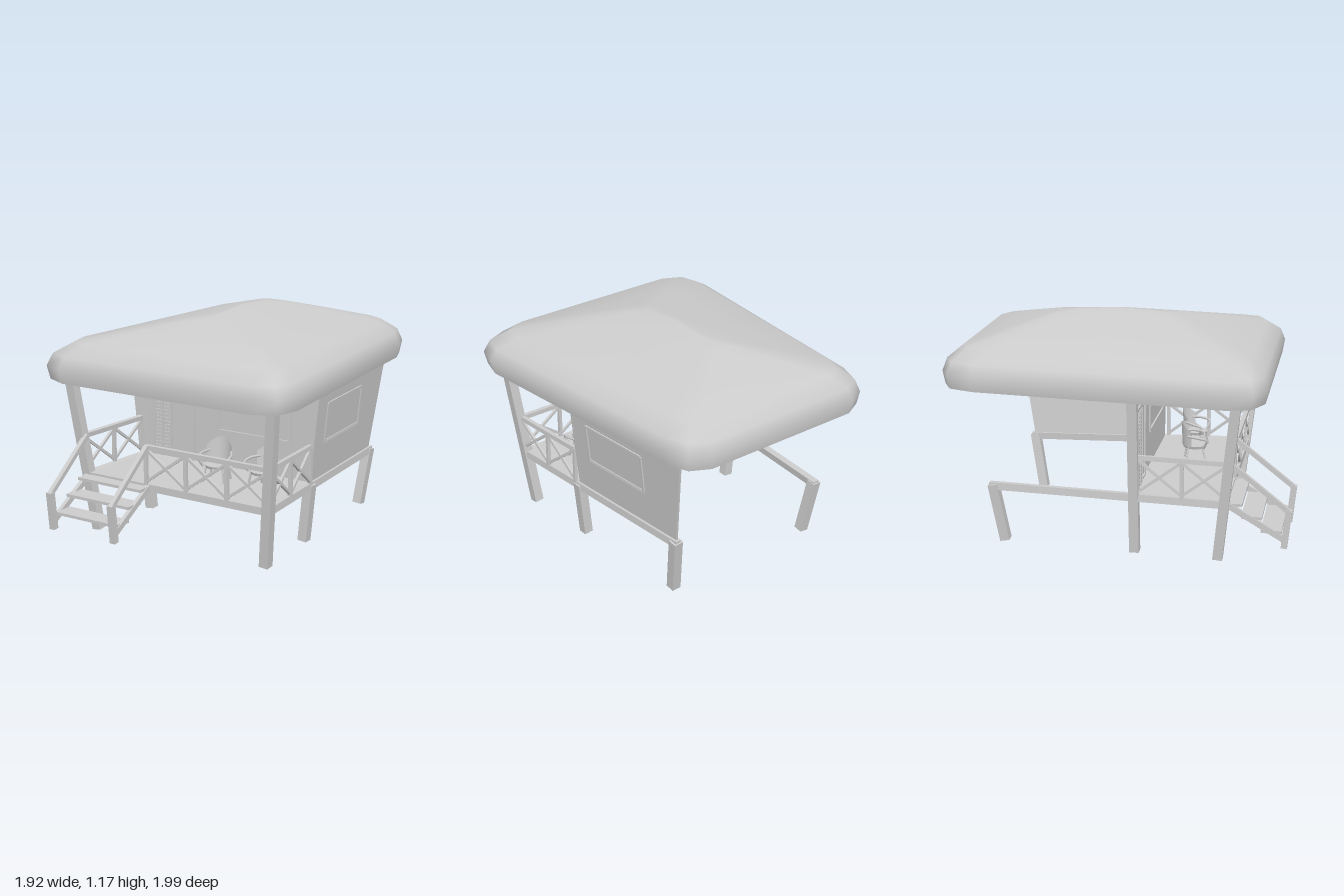
import * as THREE from 'three';
import { ConvexGeometry } from 'three/addons/geometries/ConvexGeometry.js';

const mat = new THREE.MeshStandardMaterial({ color: 0xcccccc });
const matDouble = new THREE.MeshStandardMaterial({ color: 0xcccccc, side: THREE.DoubleSide });
const V = (x, y, z) => new THREE.Vector3(x, y, z);

// The hut is a trapezoid that narrows to the back and flares upward
const half = (z, y) => 0.511 + 0.074 * z + 0.1 * (y - 0.3);
const frontZ = y => 0.531 + 0.105 * y;
const backZ = y => -0.595 - 0.17 * y;
const WALL_Z = 0.1;
const edge = (side, z, y) => V(side * half(z, y), y, z);

function add(parent, name, geo, material = mat) {
  const mesh = new THREE.Mesh(geo, material);
  mesh.name = name;
  parent.add(mesh);
  return mesh;
}

function group(parent, name) {
  const g = new THREE.Group();
  g.name = name;
  parent.add(g);
  return g;
}

// Square timber between two points
function bar(parent, name, a, b, w, d = w) {
  const dir = b.clone().sub(a);
  const m = add(parent, name, new THREE.BoxGeometry(w, dir.length(), d));
  m.position.copy(a).add(b).multiplyScalar(0.5);
  m.quaternion.setFromUnitVectors(V(0, 1, 0), dir.normalize());
  return m;
}

// Flat slab: corner points thickened along an offset
function slab(parent, name, pts, offset) {
  return add(parent, name, new ConvexGeometry([...pts, ...pts.map(p => p.clone().add(offset))]));
}

function frame(parent, name, pts, t) {
  const g = group(parent, name);
  pts.forEach((p, i) => bar(g, 'frameBar', p, pts[(i + 1) % pts.length], t));
}

// Railing with crossed braces in each panel
function railing(parent, a, b, panels) {
  const g = group(parent, 'railing');
  const at = (t, y) => a.clone().lerp(b, t).setY(y);
  bar(g, 'topRail', at(0, 0.515), at(1, 0.515), 0.024);
  for (let i = 0; i <= panels; i++) bar(g, 'baluster', at(i / panels, 0.31), at(i / panels, 0.52), 0.018);
  for (let i = 0; i < panels; i++) {
    const s = i / panels, e = (i + 1) / panels;
    bar(g, 'brace', at(s, 0.33), at(e, 0.505), 0.014);
    bar(g, 'brace', at(s, 0.505), at(e, 0.33), 0.014);
  }
}

function roofGeometry() {
  const right = [[0.568, 0.767], [0.693, 0.71], [0.728, 0.582], [0.665, -0.07],
    [0.603, -0.72], [0.553, -0.851], [0.45, -0.903]];
  const outline = [[0, 0.767], ...right, [0, -0.903], ...right.map(([x, z]) => [-x, z]).reverse()];
  // Each ring: how far it moves towards the ridge, and its height
  const rings = [[0.02, 0.83], [0, 0.9], [0.04, 0.965], [0.17, 1.025], [0.55, 1.087], [0.87, 1.137], [1, 1.147]];
  const pos = [], index = [], n = outline.length;
  for (const [k, y] of rings) {
    for (const [x, z] of outline) {
      const t = (z + 0.903) / 1.67;
      const ridge = -0.35 + 0.55 * t;
      const bump = 0.02 * k ** 3 * (1 - (2 * t - 1) ** 2);
      pos.push(x * (1 - k), y + bump, z + (ridge - z) * k);
    }
  }
  for (let r = 0; r < rings.length - 1; r++) {
    for (let i = 0; i < n; i++) {
      const a = r * n + i, b = r * n + (i + 1) % n;
      index.push(a, b, b + n, a, b + n, a + n);
    }
  }
  const geo = new THREE.BufferGeometry();
  geo.setAttribute('position', new THREE.Float32BufferAttribute(pos, 3));
  geo.setIndex(index);
  geo.computeVertexNormals();
  return geo;
}

function chair(parent, x, z, turn) {
  const g = group(parent, 'chair');
  g.position.set(x, 0.315, z);
  g.rotation.y = turn;
  add(g, 'seat', new THREE.CylinderGeometry(0.065, 0.06, 0.014, 16)).position.y = 0.085;
  // Rounded back: a curved shell with an arched top
  const back = new THREE.CylinderGeometry(0.075, 0.068, 0.13, 12, 4, true, Math.PI * 0.62, Math.PI * 0.76);
  const p = back.attributes.position;
  for (let i = 0; i < p.count; i++) {
    const arch = (p.getX(i) / 0.075) ** 2 * 0.05;
    p.setY(i, p.getY(i) - arch * (p.getY(i) / 0.13 + 0.5));
  }
  back.computeVertexNormals();
  add(g, 'chairBack', back, matDouble).position.y = 0.155;
  for (const s of [-1, 1]) {
    for (const f of [-1, 1]) bar(g, 'chairLeg', V(s * 0.06, -0.02, f * 0.055), V(s * 0.045, 0.085, f * 0.04), 0.009);
    const path = new THREE.CatmullRomCurve3([V(s * 0.06, 0.15, -0.045), V(s * 0.082, 0.145, 0.01),
      V(s * 0.08, 0.13, 0.055), V(s * 0.06, 0.085, 0.04)]);
    add(g, 'armrest', new THREE.TubeGeometry(path, 12, 0.007, 6));
  }
}

export function createModel() {
  const model = new THREE.Group();
  model.name = 'stiltHut';
  const hut = group(model, 'hut');
  hut.position.set(0.02, 0, 0.014);
  hut.rotation.y = -THREE.MathUtils.degToRad(35);

  add(hut, 'roof', roofGeometry(), matDouble);

  // Stilts, side beams and front beam
  for (const s of [-1, 1]) {
    bar(hut, 'frontPost', edge(s, frontZ(0), 0), edge(s, frontZ(0.87), 0.87), 0.05);
    bar(hut, 'middlePost', edge(s, WALL_Z, 0), edge(s, WALL_Z, s < 0 ? 0.87 : 0.31), 0.05);
    bar(hut, 'backPost', edge(s, backZ(0), 0), edge(s, backZ(0.31), 0.31), 0.05);
    bar(hut, 'sideBeam', edge(s, frontZ(0.3) + 0.02, 0.3), edge(s, backZ(0.3) - 0.02, 0.3), 0.035, 0.038);
  }
  bar(hut, 'frontBeam', edge(-1, frontZ(0.3), 0.3), edge(1, frontZ(0.3), 0.3), 0.038, 0.035);

  // Porch floor
  slab(hut, 'porchFloor', [edge(-1, WALL_Z, 0.3), edge(1, WALL_Z, 0.3),
    edge(1, frontZ(0.3), 0.3), edge(-1, frontZ(0.3), 0.3)], V(0, 0.018, 0));

  // Front and side wall
  slab(hut, 'frontWall', [edge(-1, WALL_Z, 0.3), edge(1, WALL_Z, 0.3),
    edge(1, WALL_Z, 0.91), edge(-1, WALL_Z, 0.91)], V(0, 0, -0.012));
  slab(hut, 'sideWall', [edge(1, WALL_Z, 0.315), edge(1, backZ(0.315), 0.315),
    edge(1, backZ(0.89), 0.89), edge(1, WALL_Z, 0.89)], V(-0.012, 0, 0));

  // Windows
  const onFront = (x, y) => V(x, y, WALL_Z);
  const onSide = (z, y) => edge(1, z, y);
  frame(hut, 'frontWindow', [onFront(-0.04, 0.51), onFront(0.4, 0.51), onFront(0.4, 0.715), onFront(-0.04, 0.715)], 0.018);
  frame(hut, 'sideWindow', [onSide(-0.02, 0.51), onSide(-0.44, 0.51), onSide(-0.44, 0.715), onSide(-0.02, 0.715)], 0.014);

  // Door with a slatted shutter
  frame(hut, 'doorFrame', [onFront(-0.47, 0.32), onFront(-0.2, 0.32), onFront(-0.2, 0.73), onFront(-0.47, 0.73)], 0.018);
  const shutter = group(hut, 'shutter');
  for (const x of [-0.45, -0.395, -0.34]) bar(shutter, 'shutterStile', V(x, 0.32, 0.112), V(x, 0.72, 0.112), 0.01);
  for (let i = 0; i < 20; i++) {
    const y = 0.33 + i * 0.02;
    bar(shutter, 'slat', V(-0.45, y, 0.11), V(-0.34, y, 0.11), 0.01, 0.006);
  }

  // Railings along both sides and the front, leaving a gap for the stairs
  const railZ = frontZ(0.42);
  for (const s of [-1, 1]) railing(hut, edge(s, railZ, 0.42), edge(s, WALL_Z + 0.02, 0.42), 2);
  railing(hut, V(-0.17, 0.42, railZ), edge(1, railZ, 0.42), 3);

  // Stairs
  const stairs = group(hut, 'stairs');
  for (const x of [-0.548, -0.16]) {
    bar(stairs, 'stairPost', V(x, 0.09, 0.865), V(x, 0.29, 0.885), 0.032);
    bar(stairs, 'handrail', V(x, 0.28, 0.885), V(x, 0.52, 0.58), 0.024);
    bar(stairs, 'stringer', V(x, 0.13, 0.87), V(x, 0.31, 0.56), 0.022, 0.03);
  }
  [0.17, 0.237, 0.3].forEach((y, i) => {
    const tread = add(stairs, 'tread', new THREE.BoxGeometry(0.4, 0.015, 0.105));
    tread.position.set(-0.354, y, 0.8 - i * 0.1);
  });

  // Porch furniture
  chair(hut, 0.1, 0.33, 0.2);
  chair(hut, 0.36, 0.3, -0.2);

  return model;
}
